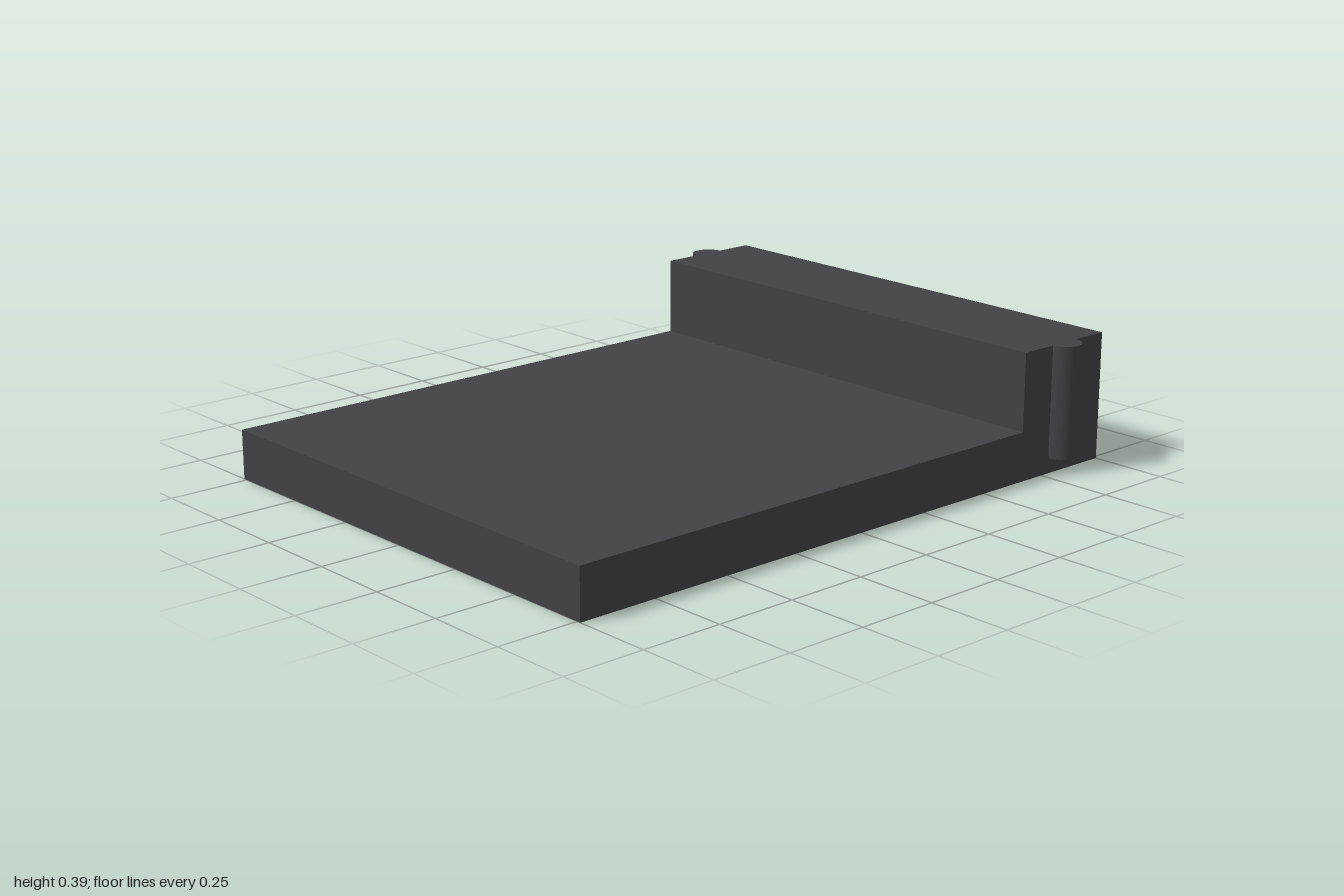
import * as THREE from 'three';

export function createModel() {
  const model = new THREE.Group();
  const charcoal = new THREE.MeshStandardMaterial({ color: 0x424146 });
  charcoal.name = 'charcoal';

  const halfWidth = 0.762, plateTop = 0.15, wallTop = 0.388, wallFront = -0.66;

  // L-shaped body: side profile (z, y) extruded across the width
  const profile = new THREE.Shape([
    [-1, 0], [1, 0], [1, plateTop], [wallFront, plateTop], [wallFront, wallTop], [-1, wallTop],
  ].map(([z, y]) => new THREE.Vector2(-z, y)));
  const bodyGeometry = new THREE.ExtrudeGeometry(profile, { depth: halfWidth * 2, bevelEnabled: false });
  bodyGeometry.translate(0, 0, -halfWidth).rotateY(Math.PI / 2);
  const body = new THREE.Mesh(bodyGeometry, charcoal);
  body.name = 'slidingPlate';
  model.add(body);

  // Half-round guide ribs on both ends of the raised wall
  const ribRadius = 0.051, ribBottom = 0.047;
  const ribHeight = wallTop - ribBottom;
  for (const side of [1, -1]) {
    const start = side > 0 ? 0 : Math.PI;
    const rib = new THREE.Mesh(
      new THREE.CylinderGeometry(ribRadius, ribRadius, ribHeight, 24, 1, false, start, Math.PI),
      charcoal,
    );
    rib.name = side > 0 ? 'leftGuideRib' : 'rightGuideRib';
    rib.position.set(side * halfWidth, ribBottom + ribHeight / 2, -0.83);
    model.add(rib);
  }

  return model;
}
